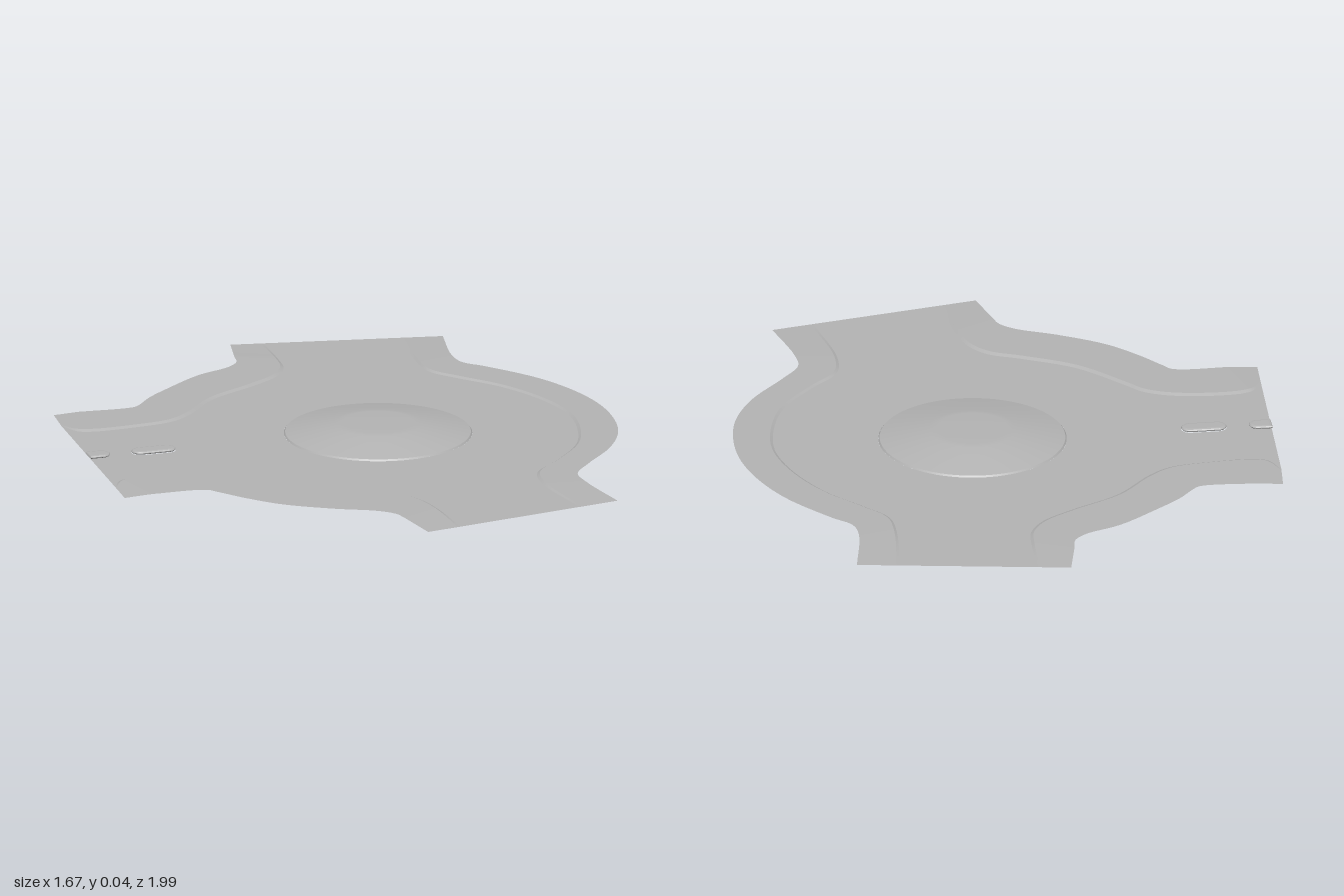
import * as THREE from 'three';

const KERB = 0.005; // pavement height above the road
const CENTRE = [0.1, -0.015];

// Paired rows: kerb x, kerb z, outer edge x, outer edge z
const PAVEMENTS = {
  backRightPavement: [
    [-0.81, -0.37, -0.8, -0.48], [-0.77, -0.295, -0.72, -0.475], [-0.577, -0.29, -0.545, -0.47],
    [-0.47, -0.31, -0.52, -0.49], [-0.4, -0.36, -0.47, -0.55], [-0.285, -0.487, -0.39, -0.62],
    [-0.127, -0.58, -0.26, -0.72], [-0.03, -0.65, -0.15, -0.77], [0.016, -0.725, -0.11, -0.81],
    [0.027, -0.81, -0.098, -0.87], [0.03, -0.983, -0.07, -1]],
  leftPavement: [
    [0.45, -0.912, 0.58, -0.89], [0.425, -0.66, 0.545, -0.68], [0.434, -0.556, 0.555, -0.605],
    [0.497, -0.47, 0.61, -0.545], [0.6, -0.345, 0.735, -0.375], [0.68, -0.18, 0.81, -0.19],
    [0.714, -0.015, 0.835, -0.015], [0.69, 0.16, 0.81, 0.19], [0.64, 0.29, 0.735, 0.35],
    [0.534, 0.423, 0.62, 0.49], [0.45, 0.513, 0.56, 0.575], [0.43, 0.63, 0.56, 0.66],
    [0.47, 0.886, 0.6, 0.86]],
  frontRightPavement: [
    [-0.05, 0.99, 0.06, 0.968], [-0.083, 0.84, 0.048, 0.78], [-0.095, 0.8, 0.02, 0.66],
    [-0.14, 0.755, -0.03, 0.593], [-0.26, 0.695, -0.127, 0.545], [-0.4, 0.605, -0.285, 0.455],
    [-0.49, 0.51, -0.42, 0.307], [-0.55, 0.43, -0.47, 0.25], [-0.58, 0.395, -0.577, 0.206],
    [-0.75, 0.387, -0.79, 0.205], [-0.84, 0.385, -0.835, 0.27]].map(([a, b, c, d]) => [c, d, a, b]),
};

// Smooth line through the points, sampled evenly between them
function smoothLine(points) {
  const curve = new THREE.CatmullRomCurve3(points.map(([x, z]) => new THREE.Vector3(x, 0, z)), false, 'centripetal');
  return curve.getPoints((points.length - 1) * 6);
}

// Ruled strip between two lines of equal length
function strip(inner, outer) {
  const positions = [], index = [];
  inner.forEach((p, i) => {
    positions.push(...p.toArray(), ...outer[i].toArray());
    if (i) {
      const a = 2 * i - 2;
      index.push(a, a + 1, a + 2, a + 1, a + 3, a + 2);
    }
  });
  const geometry = new THREE.BufferGeometry();
  geometry.setAttribute('position', new THREE.Float32BufferAttribute(positions, 3));
  geometry.setIndex(index);
  // Keep the upper side as the front
  const [a, b, c] = [inner[20], outer[20], inner[21]];
  if (b.clone().sub(a).cross(c.clone().sub(a)).y < 0) geometry.setIndex(index.reverse());
  geometry.computeVertexNormals();
  return geometry;
}

// Rounded bar outline, optionally cut square at its -x end
function barShape(x, z, length, width, squareEnd) {
  const r = width / 2, h = length / 2;
  const s = new THREE.Shape();
  s.moveTo(x - h + (squareEnd ? 0 : r), -z - r);
  s.lineTo(x + h - r, -z - r);
  s.absarc(x + h - r, -z, r, -Math.PI / 2, Math.PI / 2, false);
  if (squareEnd) s.lineTo(x - h, -z + r);
  else s.absarc(x - h + r, -z, r, Math.PI / 2, Math.PI * 1.5, false);
  s.closePath();
  return s;
}

export function createModel() {
  const model = new THREE.Group();
  const concrete = new THREE.MeshStandardMaterial({ color: 0xb4b4b4, side: THREE.DoubleSide });
  concrete.name = 'concrete grey';

  function add(name, geometry, parent = model) {
    const mesh = new THREE.Mesh(geometry, concrete);
    mesh.name = name;
    parent.add(mesh);
    return mesh;
  }

  // Pavements with sloped kerbs that sink to the road at the arm ends
  const roadEdge = [];
  for (const [name, rows] of Object.entries(PAVEMENTS)) {
    const foot = smoothLine(rows.map(([x, z]) => [x, z]));
    const outer = smoothLine(rows.map(([, , x, z]) => [x, z]));
    const last = foot.length - 1;
    const top = foot.map((p, i) => {
      const q = p.clone().lerp(outer[i], 0.07);
      q.y = KERB * Math.min(1, i / 6, (last - i) / 6);
      outer[i].y = q.y;
      return q;
    });
    const group = new THREE.Group();
    group.name = name;
    add('kerb', strip(foot, top), group);
    add('pavementSurface', strip(top, outer), group);
    model.add(group);
    roadEdge.push(...foot);
  }

  // Road surface with openings for the central dome and the divider
  const road = new THREE.Shape(roadEdge.map((p) => new THREE.Vector2(p.x, -p.z)));
  road.holes.push(new THREE.Path().absarc(CENTRE[0], -CENTRE[1], 0.29, 0, Math.PI * 2, true));
  road.holes.push(barShape(-0.615, -0.04, 0.14, 0.055, false));
  add('road', new THREE.ShapeGeometry(road, 48).rotateX(-Math.PI / 2));

  // Central island: low kerb, sloped dome and flat top
  const island = new THREE.Group();
  island.name = 'centralIsland';
  island.position.set(CENTRE[0], 0, CENTRE[1]);
  model.add(island);
  const ring = (name, profile) =>
    add(name, new THREE.LatheGeometry(profile.map(([r, y]) => new THREE.Vector2(r, y)), 64), island);
  ring('islandKerb', [[0.29, 0], [0.286, 0.005]]);
  ring('islandDome', [[0.286, 0.005], [0.24, 0.014], [0.18, 0.025], [0.135, 0.032], [0.11, 0.035], [0, 0.035]]);

  // Raised lane dividers on the right arm
  const divider = (name, shape) => {
    const geometry = new THREE.ExtrudeGeometry(shape, {
      depth: 0.002, bevelThickness: 0.004, bevelSize: 0.009, bevelOffset: -0.009, bevelSegments: 2, curveSegments: 10,
    });
    add(name, geometry.rotateX(-Math.PI / 2).translate(0, 0.004, 0));
  };
  divider('innerDivider', barShape(-0.615, -0.04, 0.14, 0.055, false));
  divider('outerDivider', barShape(-0.79, -0.045, 0.07, 0.055, true));

  return model;
}
